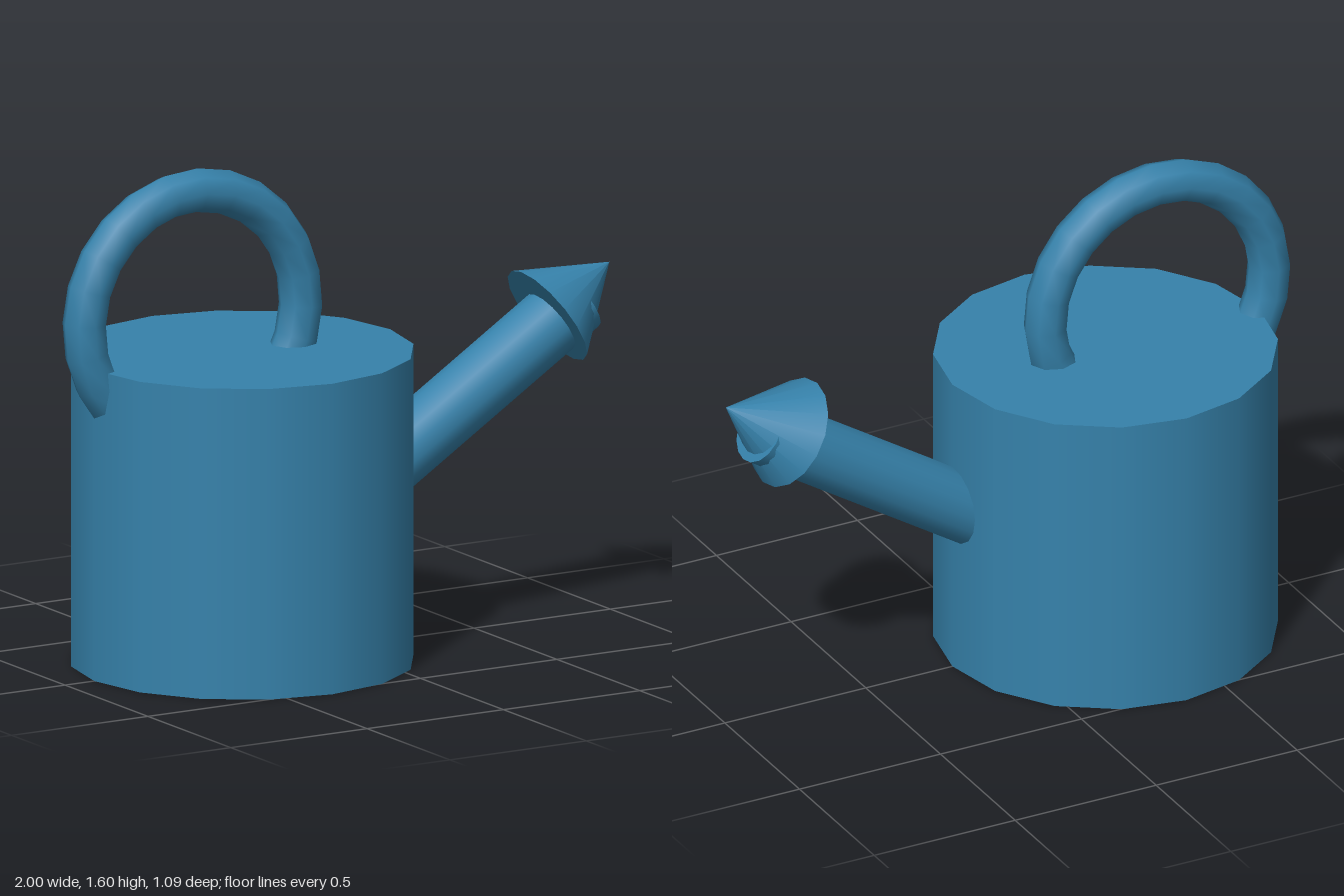
import * as THREE from 'three';

export function createModel() {
  const model = new THREE.Group();
  model.name = 'wateringCan';
  const material = new THREE.MeshStandardMaterial({ color: 0x3682ab });

  const add = (name, geometry, x, y, tilt = 0) => {
    const mesh = new THREE.Mesh(geometry, material);
    mesh.name = name;
    mesh.position.set(x, y, 0);
    mesh.rotation.z = tilt;
    model.add(mesh);
    return mesh;
  };

  // Closed drum
  add('body', new THREE.CylinderGeometry(0.543, 0.543, 1, 16), -0.35, 0.5);

  // Ring handle, sunk into the lid and the rear edge of the drum
  add('handle', new THREE.TorusGeometry(0.397, 0.07, 8, 24), -0.533, 1.138, -0.04);

  // Spout and its cone share one slope; local +y runs along the slope
  const slope = THREE.MathUtils.degToRad(32.5);
  const tilt = slope - Math.PI / 2;
  const dx = Math.cos(slope), dy = Math.sin(slope);

  // Spout, measured back from its outer end
  const spoutLength = 0.95;
  add('spout', new THREE.CylinderGeometry(0.11, 0.11, spoutLength, 16),
    0.876 - dx * spoutLength / 2, 1.013 - dy * spoutLength / 2, tilt);

  // Cone, set slightly above the spout axis so the spout's lip pokes through
  const coneHeight = 0.27;
  add('spoutCone', new THREE.ConeGeometry(0.18, coneHeight, 16),
    0.769 + dx * coneHeight / 2, 0.974 + dy * coneHeight / 2, tilt);

  return model;
}
